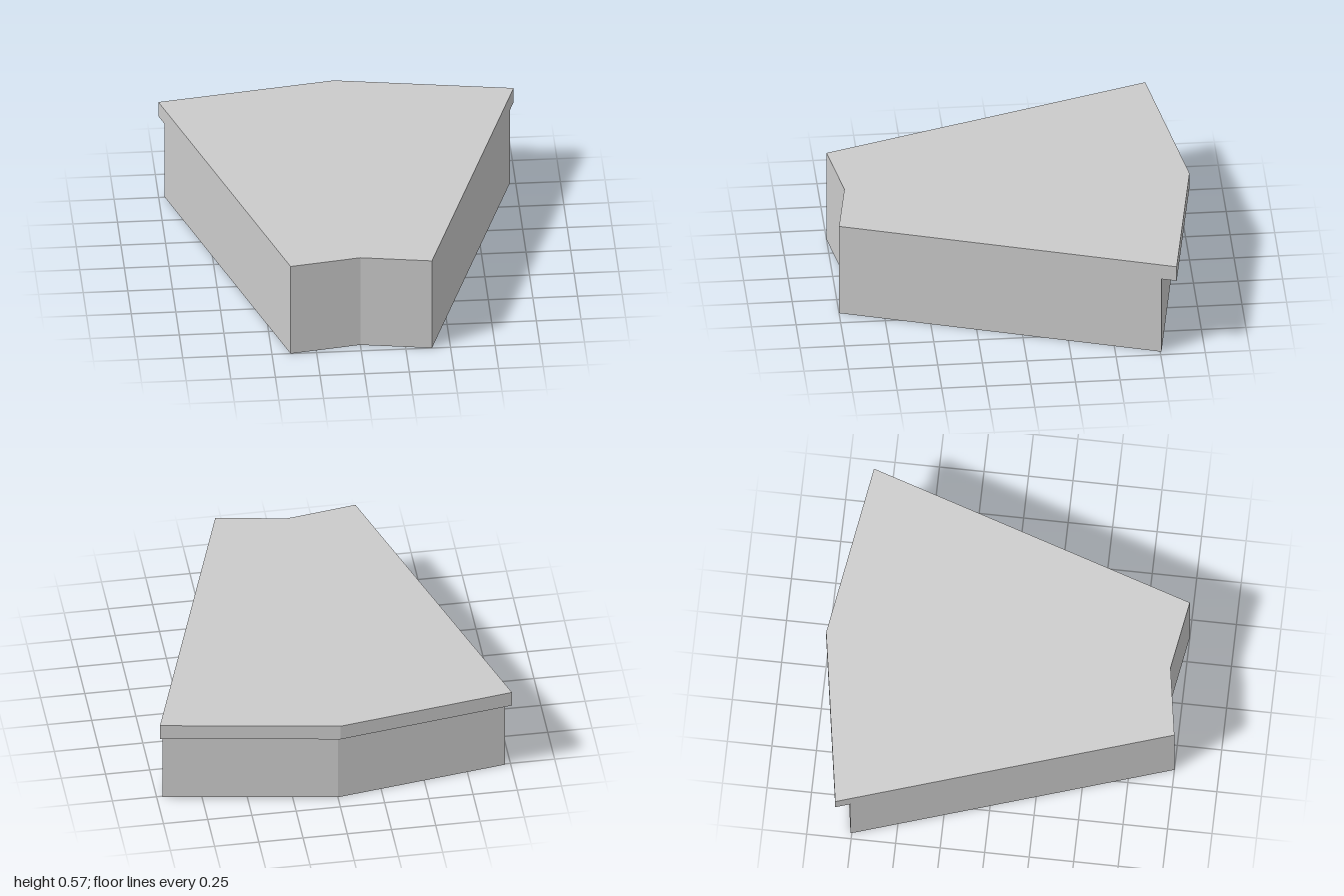
import * as THREE from 'three';

const FRONT_X = 0.396, FRONT_Z = 1, NOTCH_Z = 0.935;
const TAPER = (0.995 - FRONT_X) / 1.84; // widening of the sides towards the back
const LEDGE_Y = 0.475, TOP_Y = 0.567;

// Curved-wedge slab: notched front, flared sides, pointed back
function wedge(name, cornerZ, backZ, y0, y1, material) {
  const backX = FRONT_X + (FRONT_Z - cornerZ) * TAPER;
  const outline = [
    [0, NOTCH_Z], [FRONT_X, FRONT_Z], [backX, cornerZ],
    [0, backZ], [-backX, cornerZ], [-FRONT_X, FRONT_Z],
  ];
  const shape = new THREE.Shape(outline.map(([x, z]) => new THREE.Vector2(x, -z)));
  const geometry = new THREE.ExtrudeGeometry(shape, { depth: y1 - y0, bevelEnabled: false });
  geometry.rotateX(-Math.PI / 2).translate(0, y0, 0);
  const mesh = new THREE.Mesh(geometry, material);
  mesh.name = name;
  return mesh;
}

export function createModel() {
  const group = new THREE.Group();
  group.name = 'wedgeBlock';
  const material = new THREE.MeshStandardMaterial({ color: 0xcccccc, flatShading: true });
  // Main block, and the top slab overhanging it at the back
  group.add(wedge('body', -0.757, -0.91, 0, LEDGE_Y, material));
  group.add(wedge('topSlab', -0.84, -1, LEDGE_Y, TOP_Y, material));
  return group;
}
